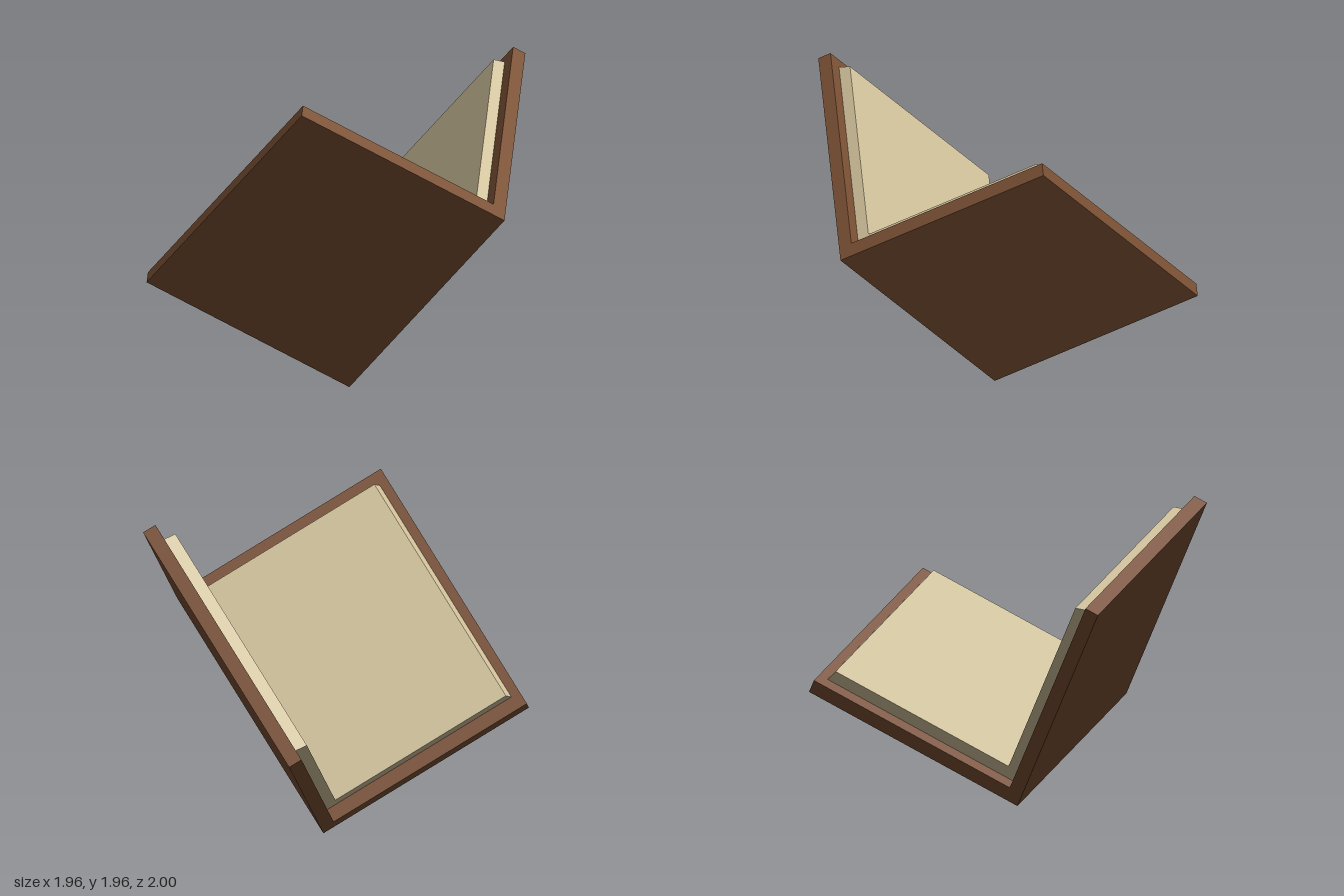
import * as THREE from 'three';

// Extrudes a V-shaped cross-section, mirrored about the spine, along the book's height.
// half: [across, up] points from the outer spine point round to the inner spine point.
function vBlock(name, half, from, to, color) {
  const mirrored = half.slice(1, -1).reverse().map(([a, b]) => [-a, b]);
  const shape = new THREE.Shape([...half, ...mirrored].map(([a, b]) => new THREE.Vector2(a, b)));
  const geometry = new THREE.ExtrudeGeometry(shape, { depth: to - from, bevelEnabled: false });
  geometry.translate(0, 0, from);
  const mesh = new THREE.Mesh(geometry, new THREE.MeshStandardMaterial({ color }));
  mesh.name = name;
  return mesh;
}

export function createModel() {
  const height = 1.706;
  const inset = 0.085;

  // book opened at a right angle, built with its spine along local z
  const book = new THREE.Group();
  book.name = 'openBook';

  // two boards meeting at the spine
  book.add(vBlock('cover', [[0, 0], [1, 1], [0.94, 1.06], [0, 0.12]], 0, height, 0x7a5034));

  // page blocks lying on the boards, with a slanted fore edge
  book.add(vBlock('pages', [[0, 0.12], [0.9, 1.02], [0.83, 1.054], [0, 0.224]],
    inset, height - inset, 0xd2c39c));

  // lean the book so the spine rises at 45 degrees towards +x
  const r = Math.SQRT1_2;
  book.quaternion.setFromRotationMatrix(new THREE.Matrix4().makeBasis(
    new THREE.Vector3(0, 0, -1),
    new THREE.Vector3(-r, r, 0),
    new THREE.Vector3(r, r, 0)));
  book.position.set(-0.23, 0, 0);

  const model = new THREE.Group();
  model.name = 'model';
  model.add(book);
  return model;
}
